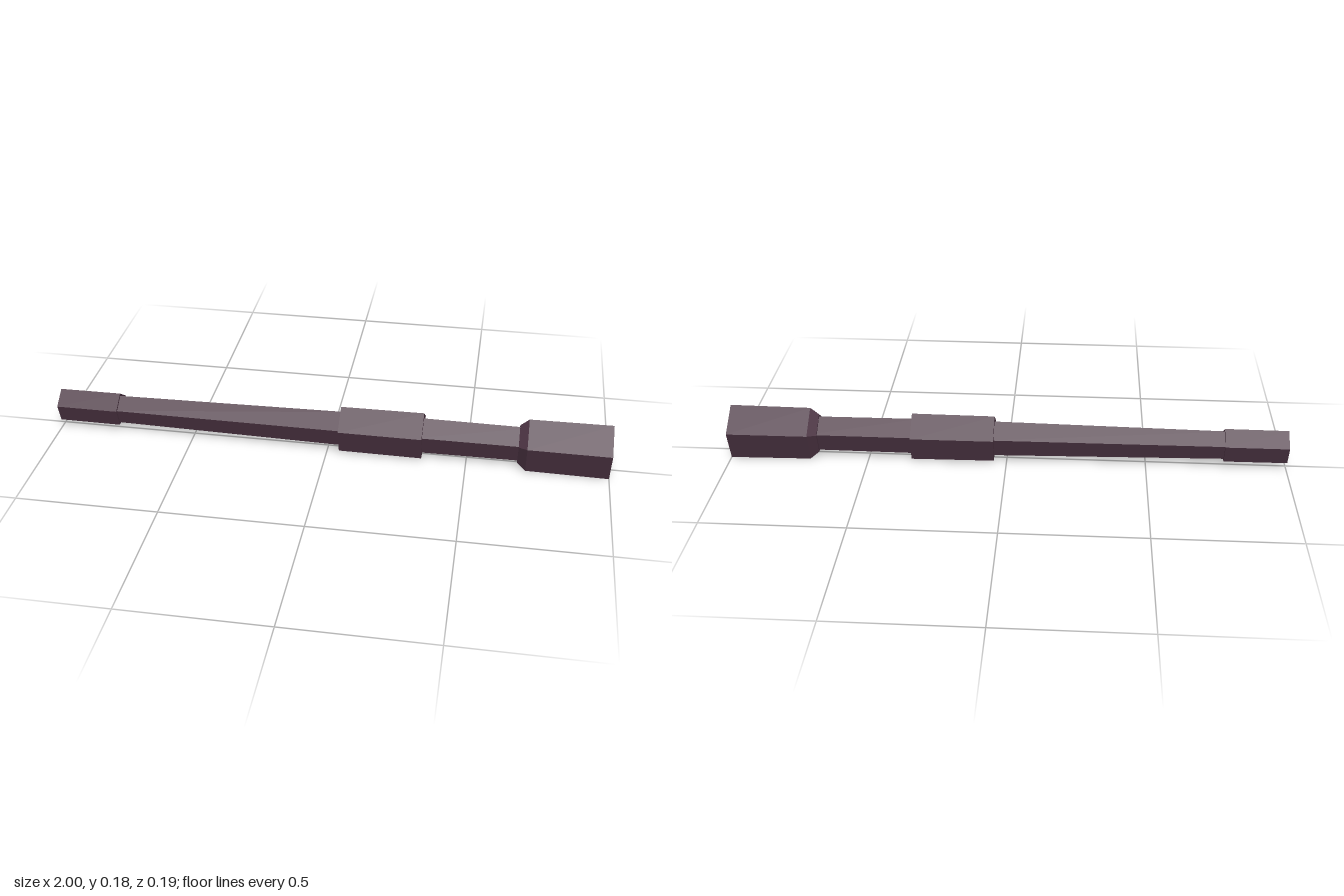
import * as THREE from 'three';

const AXIS_Y = 0.082; // height of the central axis

// Five-sided part turned around the x axis, apex up.
// Profile is a list of [x, radius] running towards +x along the outside.
function turned(name, profile, material) {
  const points = profile.map(([x, r]) => new THREE.Vector2(r, x));
  const geometry = new THREE.LatheGeometry(points, 5, -Math.PI / 2)
    .rotateZ(-Math.PI / 2)
    .toNonIndexed();
  geometry.computeVertexNormals(); // flat facets
  const mesh = new THREE.Mesh(geometry, material);
  mesh.name = name;
  mesh.position.y = AXIS_Y;
  return mesh;
}

export function createModel() {
  const group = new THREE.Group();
  group.name = 'barrel';
  const metal = new THREE.MeshStandardMaterial({ color: 0x4a3241 });
  metal.name = 'dark plum metal';

  // Muzzle collar with a recessed bore
  group.add(turned('muzzle', [
    [-0.9, 0], [-0.9, 0.036], [-1, 0.036],
    [-1, 0.061], [-0.775, 0.062], [-0.775, 0.045],
  ], metal));

  // Long tapering tube
  group.add(turned('taperedTube', [[-0.8, 0.052], [0.07, 0.065]], metal));

  // Thick sleeve around the middle
  group.add(turned('sleeve', [
    [0.045, 0.05], [0.045, 0.085], [0.342, 0.087], [0.342, 0.05],
  ], metal));

  // Straight tube between sleeve and breech
  group.add(turned('rearTube', [[0.32, 0.066], [0.72, 0.064]], metal));

  // Heavy breech block with a chamfered shoulder
  group.add(turned('breech', [
    [0.68, 0.05], [0.68, 0.072], [0.71, 0.098], [1, 0.101], [1, 0],
  ], metal));

  return group;
}
